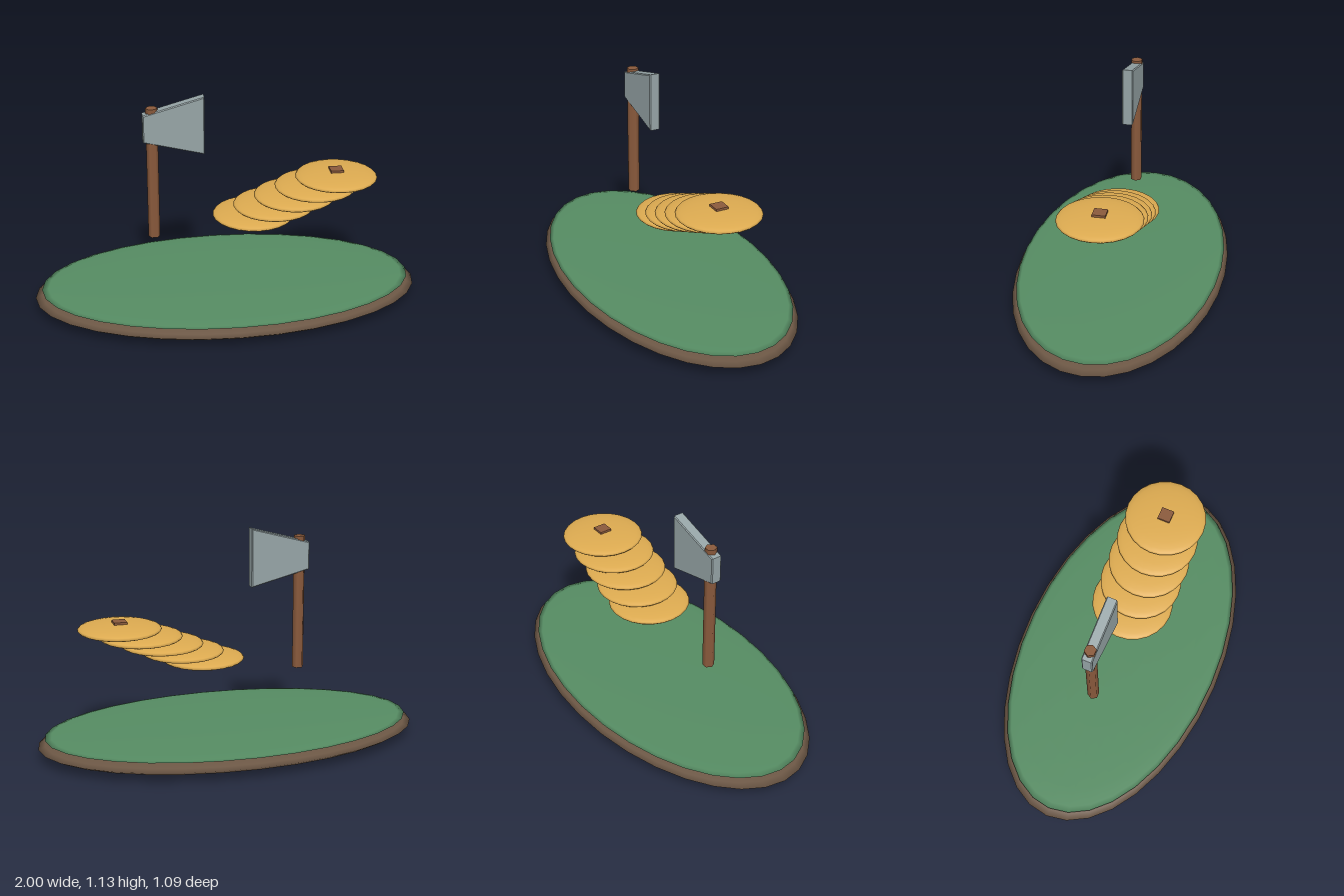
import * as THREE from 'three';

const material = (color) => new THREE.MeshStandardMaterial({ color });
const soil = material(0x6b5644);
const grass = material(0x558b62);
const gold = material(0xdcaa50);
const wood = material(0x8a5a3c);
const steel = material(0x95a3a5);

function addPart(parent, name, geometry, mat, x, y, z = 0) {
  const mesh = new THREE.Mesh(geometry, mat);
  mesh.name = name;
  mesh.position.set(x, y, z);
  parent.add(mesh);
  return mesh;
}

// Flattened sphere, used for the ground layers and the coins
function disc(rx, ry, rz, segments, rings) {
  return new THREE.SphereGeometry(1, segments, rings).scale(rx, ry, rz);
}

function createAxe() {
  const axe = new THREE.Group();
  axe.name = 'axe';

  // Six-sided handle with corners pointing sideways
  const handle = new THREE.CylinderGeometry(0.03, 0.03, 0.7, 6).rotateY(Math.PI / 6);
  addPart(axe, 'handle', handle, wood, -0.375, 0.73);

  // Flared blade with a fine bevel
  const bevel = 0.005;
  const outline = new THREE.Shape([
    new THREE.Vector2(-0.417, 0.909),
    new THREE.Vector2(-0.118, 0.834),
    new THREE.Vector2(-0.118, 1.127),
    new THREE.Vector2(-0.417, 1.044),
  ]);
  const blade = new THREE.ExtrudeGeometry(outline, {
    depth: 0.046,
    bevelEnabled: true,
    bevelSize: bevel,
    bevelThickness: bevel,
    bevelSegments: 1,
  });
  addPart(axe, 'blade', blade, steel, 0, 0, -0.023);
  return axe;
}

function createCoins() {
  const coins = new THREE.Group();
  coins.name = 'coinStack';

  // Five coins rising in a slanted row
  const geometry = disc(0.211, 0.03, 0.211, 24, 12);
  for (let i = 0; i < 5; i++) {
    addPart(coins, `coin${i + 1}`, geometry, gold, 0.14 + i * 0.1075, 0.475 + i * 0.0463);
  }

  // Small square stud on the highest coin
  addPart(coins, 'stud', new THREE.BoxGeometry(0.066, 0.03, 0.066), wood, 0.57, 0.686);
  return coins;
}

export function createModel() {
  const model = new THREE.Group();
  model.name = 'floatingIsland';

  // Oval ground with a thin grass layer
  addPart(model, 'ground', disc(1, 0.06, 0.545, 32, 12), soil, 0, 0.06);
  addPart(model, 'grass', disc(0.965, 0.018, 0.525, 32, 12), grass, 0, 0.104);

  model.add(createAxe(), createCoins());
  return model;
}
